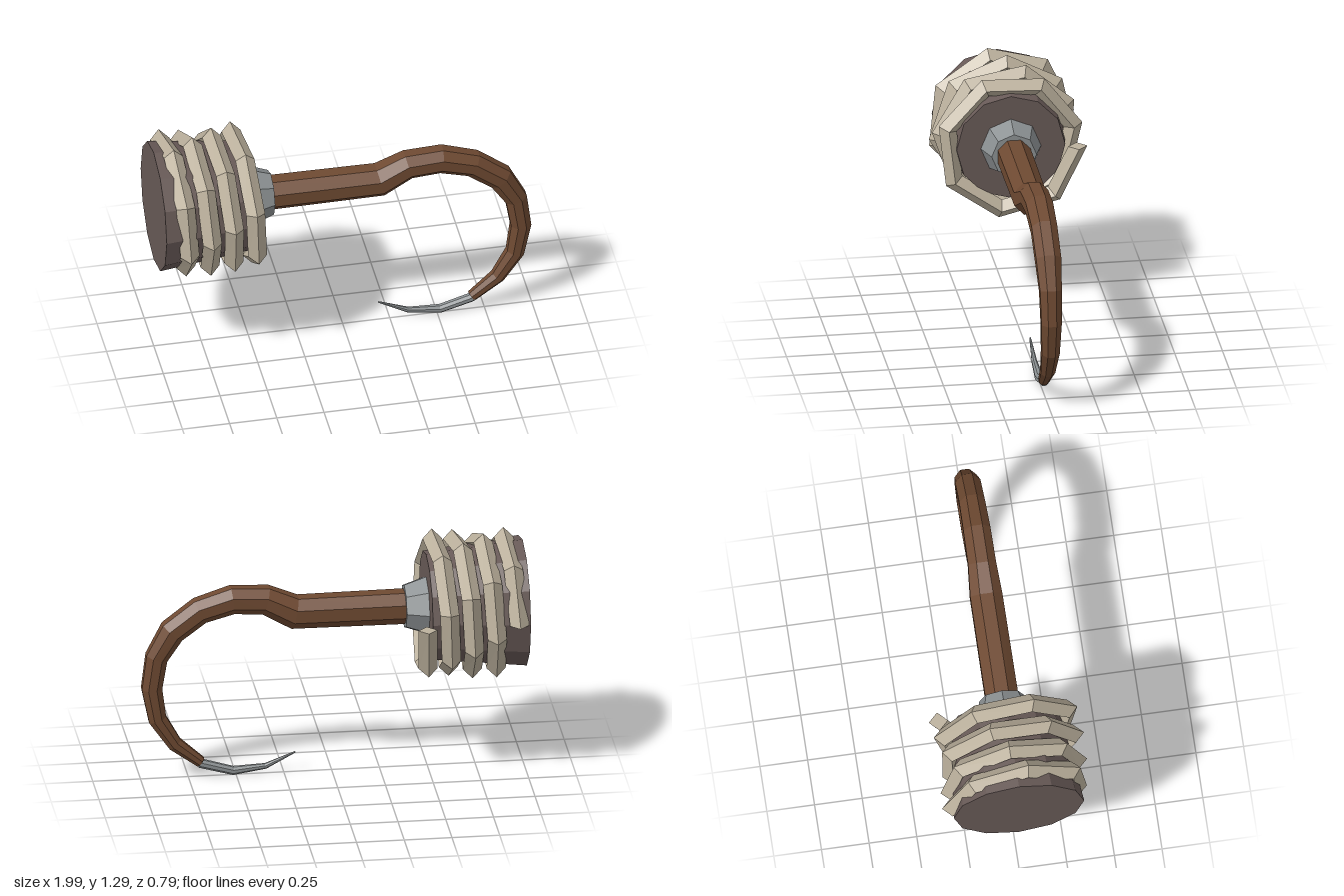
import * as THREE from 'three';

const V = (x, y, z) => new THREE.Vector3(x, y, z);
const AXIS_Y = 0.9;

const mat = (name, color) => {
  const m = new THREE.MeshStandardMaterial({ color });
  m.name = name;
  return m;
};

// Faceted solid through rings of points, closed at both ends
function loft(rings) {
  const pos = [];
  const tri = (a, b, c) => [a, b, c].forEach(p => pos.push(p.x, p.y, p.z));
  const n = rings[0].length;
  for (let i = 0; i < rings.length - 1; i++) {
    for (let j = 0; j < n; j++) {
      const k = (j + 1) % n;
      tri(rings[i][j], rings[i][k], rings[i + 1][k]);
      tri(rings[i][j], rings[i + 1][k], rings[i + 1][j]);
    }
  }
  const first = rings[0], last = rings[rings.length - 1];
  for (let j = 1; j < n - 1; j++) {
    tri(first[0], first[j + 1], first[j]);
    tri(last[0], last[j], last[j + 1]);
  }
  const g = new THREE.BufferGeometry();
  g.setAttribute('position', new THREE.Float32BufferAttribute(pos, 3));
  g.computeVertexNormals();
  return g;
}

// Ring around c in the plane of a and b (a x b points along the path)
function ring(c, a, b, r, sides, phase = 0) {
  return Array.from({ length: sides }, (_, j) => {
    const t = phase + (j / sides) * Math.PI * 2;
    return c.clone().addScaledVector(a, r * Math.cos(t)).addScaledVector(b, r * Math.sin(t));
  });
}

// Tapered octagonal bar along [x, y, halfWidth] points in the z = 0 plane
function taperedBar(path) {
  const pts = path.map(p => V(p[0], p[1], 0));
  const dir = (i, j) => pts[j].clone().sub(pts[i]).normalize();
  return loft(path.map((p, i) => {
    const t = V(0, 0, 0);
    if (i > 0) t.add(dir(i - 1, i));
    if (i < pts.length - 1) t.add(dir(i, i + 1));
    t.normalize();
    return ring(pts[i], V(-t.y, t.x, 0), V(0, 0, 1), p[2] / Math.cos(Math.PI / 8), 8, Math.PI / 8);
  }));
}

// Faceted cone section along x
function section(x0, r0, x1, r1, sides) {
  const at = (x, r) => ring(V(x, AXIS_Y, 0), V(0, 0, 1), V(0, -1, 0), r, sides);
  return loft([at(x0, r0), at(x1, r1)]);
}

// Coarse coil with a diamond section, starting and ending at the back
function coil() {
  const segments = 29, turns = 4, radius = 0.345;
  const rings = [];
  for (let i = 0; i <= segments; i++) {
    const f = i / segments, t = f * turns * Math.PI * 2;
    const out = V(0, Math.sin(t), -Math.cos(t));
    const c = V(-0.94 + 0.48 * f, AXIS_Y, 0).addScaledVector(out, radius);
    rings.push(ring(c, out, V(-1, 0, 0), 0.05, 4));
  }
  return loft(rings);
}

export function createModel() {
  const leather = mat('dark leather', 0x685a57);
  const rope = mat('pale rope', 0xbdb29e);
  const wood = mat('brown wood', 0x6f4a32);
  const steel = mat('grey steel', 0x8c9193);

  const model = new THREE.Group();
  model.name = 'hook';
  const add = (name, geometry, material) => {
    const m = new THREE.Mesh(geometry, material);
    m.name = name;
    model.add(m);
  };

  // Cuff with its rope binding
  add('cuff', section(-1, 0.342, -0.495, 0.285, 12), leather);
  add('ropeBinding', coil(), rope);

  // Collar where the shaft leaves the cuff
  add('collar', section(-0.5, 0.16, -0.38, 0.118, 8), steel);

  // Straight shaft running into the curved hook
  add('shaftAndHook', taperedBar([
    [-0.42, 0.9, 0.086], [0.195, 0.9, 0.084], [0.345, 0.975, 0.073], [0.52, 0.985, 0.071],
    [0.69, 0.933, 0.067], [0.835, 0.823, 0.066], [0.917, 0.682, 0.057], [0.942, 0.51, 0.053],
    [0.912, 0.337, 0.047], [0.82, 0.192, 0.038], [0.685, 0.083, 0.028],
  ]), wood);

  // Pointed metal tip
  add('tip', taperedBar([
    [0.69, 0.076, 0.023], [0.515, 0.025, 0.022], [0.345, 0.042, 0.014], [0.19, 0.113, 0.004],
  ]), steel);

  return model;
}
